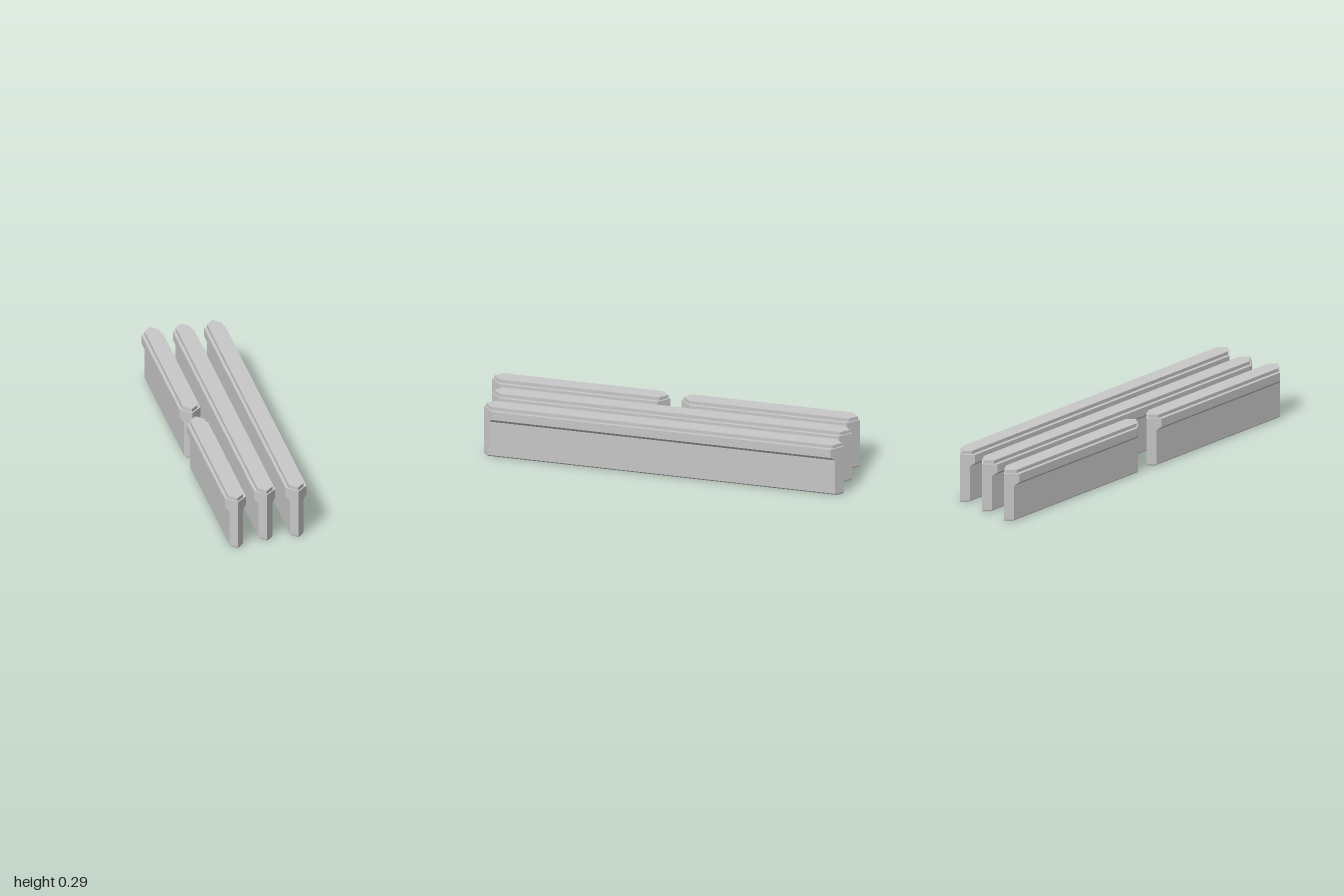
import * as THREE from 'three';

// Stacked outlines from bottom to top: [height, half width, inset of the pointed tips]
const LAYERS = [
  [0, 0.026, 0.004],
  [0.01, 0.037, 0],
  [0.205, 0.037, 0],
  [0.225, 0.057, 0],
  [0.273, 0.057, 0],
  [0.273, 0.04, 0.011],
  [0.292, 0.04, 0.011],
];

// Six-sided plan outline with 45 degree pointed ends, running from z0 to z1
function outline([y, w, inset], x, z0, z1) {
  const a = z0 + inset, b = z1 - inset;
  return [
    [x, y, b], [x + w, y, b - w], [x + w, y, a + w],
    [x, y, a], [x - w, y, a + w], [x - w, y, b - w],
  ];
}

// Flanged bar lofted through the outlines, with flat faces
function barGeometry(x, z0, z1) {
  const rings = LAYERS.map((layer) => outline(layer, x, z0, z1));
  const pos = [];
  const tri = (a, b, c) => pos.push(...a, ...b, ...c);
  for (let i = 0; i < rings.length - 1; i++) {
    for (let j = 0; j < 6; j++) {
      const k = (j + 1) % 6;
      const lo = rings[i], hi = rings[i + 1];
      tri(lo[j], lo[k], hi[k]);
      tri(lo[j], hi[k], hi[j]);
    }
  }
  // Bottom and top faces
  const bottom = rings[0], top = rings[rings.length - 1];
  for (let j = 1; j < 5; j++) {
    tri(bottom[0], bottom[j + 1], bottom[j]);
    tri(top[0], top[j], top[j + 1]);
  }
  const geometry = new THREE.BufferGeometry();
  geometry.setAttribute('position', new THREE.Float32BufferAttribute(pos, 3));
  geometry.computeVertexNormals();
  return geometry;
}

export function createModel() {
  const group = new THREE.Group();
  group.name = 'barSet';
  const lightGrey = new THREE.MeshStandardMaterial({ color: 0xc8c8c8 });
  lightGrey.name = 'lightGrey';

  // Two full-length bars and one split into two halves
  const bars = [
    ['leftBar', 0.169, -1, 0.955],
    ['middleBar', 0, -1, 0.955],
    ['rightBackBar', -0.169, -1, -0.03],
    ['rightFrontBar', -0.169, 0.03, 1],
  ];
  for (const [name, x, z0, z1] of bars) {
    const mesh = new THREE.Mesh(barGeometry(x, z0, z1), lightGrey);
    mesh.name = name;
    group.add(mesh);
  }
  return group;
}
